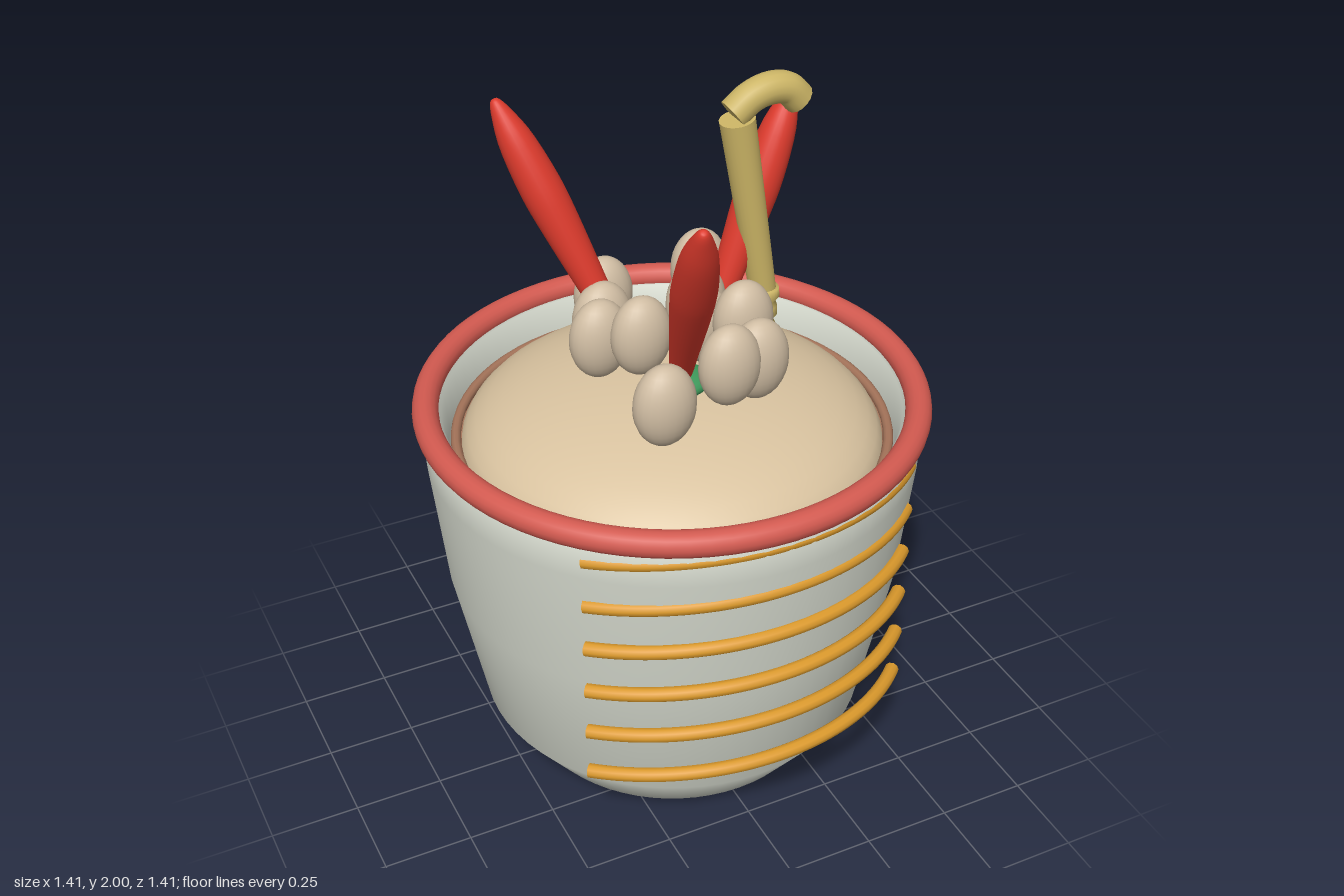
import * as THREE from 'three';

const mat = (name, hex, side = THREE.FrontSide) => {
  const m = new THREE.MeshStandardMaterial({ color: hex, side });
  m.name = name;
  return m;
};
const V = (x, y, z) => new THREE.Vector3(x, y, z);
const lathe = (pts, segments = 64) =>
  new THREE.LatheGeometry(pts.map(([x, y]) => new THREE.Vector2(x, y)), segments);

export function createModel() {
  const group = new THREE.Group();
  const glaze = mat('pale glaze', 0xd6dace);
  const rimRed = mat('rim red', 0xd35a50);
  const amber = mat('amber', 0xdc9a2c, THREE.DoubleSide);
  const cream = mat('cream', 0xd9c3a0);
  const brown = mat('broth brown', 0xa5745a);
  const beige = mat('bean beige', 0xd0bda3);
  const red = mat('pepper red', 0xdc3a2c);
  const green = mat('leaf green', 0x3f9a5c);
  const straw = mat('straw', 0xccb566, THREE.DoubleSide);

  const add = (name, geometry, material, pos = V(0, 0, 0)) => {
    const mesh = new THREE.Mesh(geometry, material);
    mesh.name = name;
    mesh.position.copy(pos);
    group.add(mesh);
    return mesh;
  };

  // Places a mesh whose axis runs along +y so that it runs from a towards b
  const aim = (mesh, a, b) => {
    mesh.position.copy(a);
    mesh.quaternion.setFromUnitVectors(V(0, 1, 0), b.clone().sub(a).normalize());
  };

  // Cup: outer wall, lip and inner wall
  add('cup', lathe([
    [0, 0.005], [0.33, 0.005], [0.44, 0.045], [0.555, 0.2], [0.638, 0.62],
    [0.677, 1.0], [0.679, 1.12], [0.625, 1.12], [0.615, 1.0], [0.58, 0.7], [0, 0.7],
  ]), glaze);
  const rim = add('rim', new THREE.TorusGeometry(0.668, 0.036, 16, 80), rimRed, V(0, 1.13, 0));
  rim.rotation.x = Math.PI / 2;

  // Filling: broth, its edge ring and a shallow dome
  add('broth', new THREE.CylinderGeometry(0.605, 0.58, 0.2, 64), brown, V(0, 0.92, 0));
  const edge = add('brothRing', new THREE.TorusGeometry(0.592, 0.014, 10, 64), brown, V(0, 1.03, 0));
  edge.rotation.x = Math.PI / 2;
  add('fillingDome', new THREE.SphereGeometry(1, 64, 24), cream, V(0, 1.0, 0)).scale.set(0.58, 0.22, 0.58);

  // Tilted raised bands across the front
  const R = 0.668, tilt = 0.155;
  const band = new THREE.TorusGeometry(R, 0.02, 10, 40, Math.PI / 2);
  band.rotateZ(Math.PI / 4).rotateX(Math.PI / 2 - tilt);
  for (let i = 0; i < 6; i++) {
    add('frontBand', band, amber, V(0, 0.366 + i * 0.142 - R * Math.sin(tilt), 0));
  }

  // Beans standing on the filling
  const bean = new THREE.SphereGeometry(1, 24, 16).scale(0.085, 0.115, 0.063);
  [
    [-0.075, 1.32, -0.28], [0.235, 1.32, -0.31], [-0.18, 1.32, -0.07], [-0.145, 1.335, -0.13],
    [0.09, 1.38, -0.04], [0.09, 1.33, -0.01], [-0.095, 1.35, 0.01], [0.16, 1.38, 0.1],
    [0.12, 1.36, 0.26], [0.025, 1.38, 0.285], [-0.185, 1.35, 0.34],
  ].forEach((p) => add('bean', bean, beige, V(...p)));

  // Red peppers, each rising from a flat green cap
  const capGeo = new THREE.SphereGeometry(1, 24, 12).scale(0.093, 0.035, 0.073);
  const profile = new THREE.SplineCurve([
    [0, 0], [0.027, 0.01], [0.04, 0.18], [0.054, 0.4], [0.057, 0.52],
    [0.047, 0.66], [0.026, 0.75], [0.012, 0.785], [0, 0.79],
  ].map(([x, y]) => new THREE.Vector2(x, y))).getPoints(28);
  profile.forEach((p) => { p.x = Math.max(p.x, 0); });
  const pepperGeo = new THREE.LatheGeometry(profile, 24);
  [
    [V(-0.04, 1.25, 0.115), V(-0.03, 1.26, 0.11), V(-0.175, 1.92, 0.525)],
    [V(-0.06, 1.25, -0.1), V(-0.09, 1.26, -0.115), V(-0.335, 1.92, -0.36)],
    [V(0.115, 1.25, -0.04), V(0.13, 1.26, -0.05), V(0.4, 1.92, -0.1)],
  ].forEach(([cap, base, tip]) => {
    add('pepperCap', capGeo, green, cap);
    const pepper = add('pepper', pepperGeo, red);
    aim(pepper, base, tip);
    pepper.scale.y = base.distanceTo(tip) / 0.79;
  });

  // Jointed stalk: pinched foot, leaning stem and curled hook
  const z = -0.037;
  const foot = add('stalkFoot', lathe([
    [0, 0], [0.047, 0], [0.044, 0.08], [0.034, 0.1], [0.045, 0.115],
    [0.042, 0.14], [0.036, 0.155], [0.046, 0.17], [0.042, 0.195], [0, 0.2],
  ], 24), straw);
  aim(foot, V(0.28, 1.185, z), V(0.295, 1.385, z));
  const a = V(0.293, 1.36, z), b = V(0.203, 1.89, z);
  const stem = add('stalkStem', new THREE.CylinderGeometry(0.048, 0.037, a.distanceTo(b), 24), straw);
  aim(stem, a, b);
  stem.position.lerpVectors(a, b, 0.5);
  const hook = new THREE.CatmullRomCurve3([
    V(0.19, 1.905, z), V(0.24, 1.942, z), V(0.295, 1.957, z), V(0.345, 1.948, z), V(0.382, 1.912, z),
  ]);
  add('stalkHook', new THREE.TubeGeometry(hook, 24, 0.043, 16), straw);
  // Flat ends of the hook
  [0, 1].forEach((t) => {
    const end = add('hookEnd', new THREE.CircleGeometry(0.043, 16), straw, hook.getPoint(t));
    end.quaternion.setFromUnitVectors(V(0, 0, 1), hook.getTangent(t).multiplyScalar(t ? 1 : -1));
  });

  return group;
}
